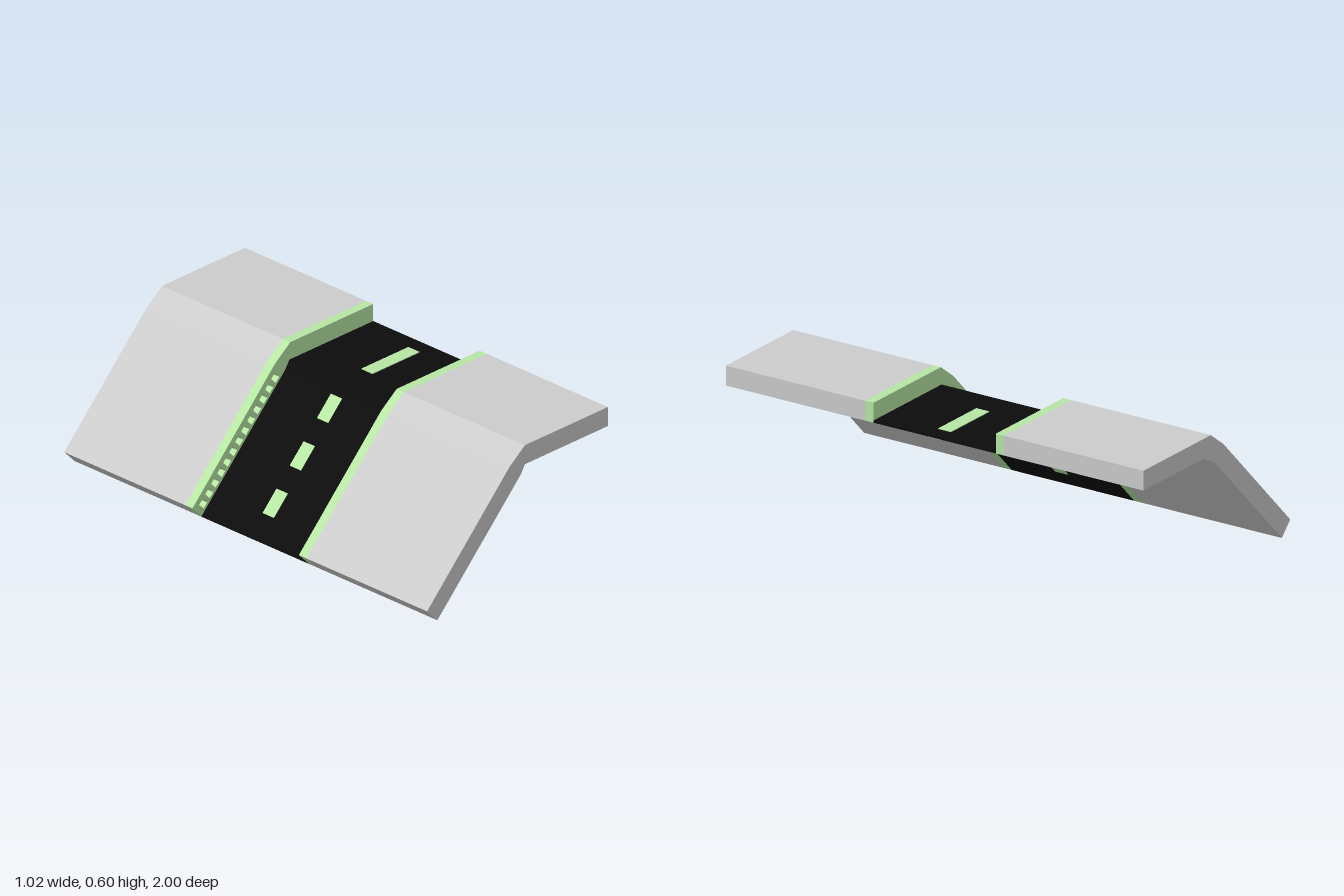
import * as THREE from 'three';

const GREY = 0xcccccc, GREEN = 0xb6e6a4, BLACK = 0x0c0c0c;

// Cross-section outlines in x, y: ramp on the left, level deck on the right
const UNDER = [[0.51, 0.511], [0.042, 0.511], [0.02, 0.475], [-0.452, 0]];
const SLAB = [[-0.51, 0.06], ...[...UNDER].reverse(), [0.51, 0.595], [0.042, 0.595], [-0.045, 0.53]];
const ROAD = [...[...UNDER].reverse(), [0.51, 0.52], [0.037, 0.52], [0.013, 0.483], [-0.459, 0.007]];

const vec = (pts) => pts.map(([x, y]) => new THREE.Vector2(x, y));

// Point on the ramp: distance t up from the foot, height n above the underside
const A = Math.atan2(0.475, 0.472);
const onRamp = (t, n) => [-0.452 + t * Math.cos(A) - n * Math.sin(A), t * Math.sin(A) + n * Math.cos(A)];
const rampRect = (t0, t1, n0, n1) => [onRamp(t0, n0), onRamp(t1, n0), onRamp(t1, n1), onRamp(t0, n1)];

function prism(name, outline, z0, z1, color, holes = []) {
  const shape = new THREE.Shape(vec(outline));
  shape.holes = holes.map((h) => new THREE.Path(vec(h)));
  const geo = new THREE.ExtrudeGeometry(shape, { depth: z1 - z0, bevelEnabled: false });
  geo.translate(0, 0, z0);
  const mesh = new THREE.Mesh(geo, new THREE.MeshStandardMaterial({ color }));
  mesh.name = name;
  return mesh;
}

export function createModel() {
  const group = new THREE.Group();
  group.name = 'rampRoad';

  // Row of small openings in the curb wall along the ramp
  const slots = [];
  for (let i = 0; i < 13; i++) {
    const t = 0.03 + i * 0.048;
    slots.push(rampRect(t, t + 0.028, 0.022, 0.058));
  }

  // Pavement slabs and curbs either side of the road
  for (const [side, s] of [['left', 1], ['right', -1]]) {
    const span = (a, b) => (s > 0 ? [a, b] : [-b, -a]);
    group.add(prism(side + 'Pavement', SLAB, ...span(0.333, 1), GREY));
    group.add(prism(side + 'Curb', SLAB, ...span(0.293, 0.333), GREEN, slots));
  }

  // Sunken road sheet
  group.add(prism('road', ROAD, -0.293, 0.293, BLACK));

  // Ramp dashes, showing above and below the road
  for (const t of [0.11, 0.327, 0.545]) {
    group.add(prism('rampDash', rampRect(t, t + 0.112, -0.002, 0.012), -0.031, 0.031, GREEN));
  }

  // Deck dash on top
  group.add(prism('deckDash', [[0.175, 0.515], [0.44, 0.515], [0.44, 0.523], [0.175, 0.523]], -0.031, 0.031, GREEN));

  // Strip under the deck, following the bend
  group.add(prism('underStrip', [[0.51, 0.514], [0.042, 0.514], [0.018, 0.475],
    [0.021, 0.473], [0.043, 0.509], [0.51, 0.509]], -0.031, 0.031, GREEN));

  return group;
}
